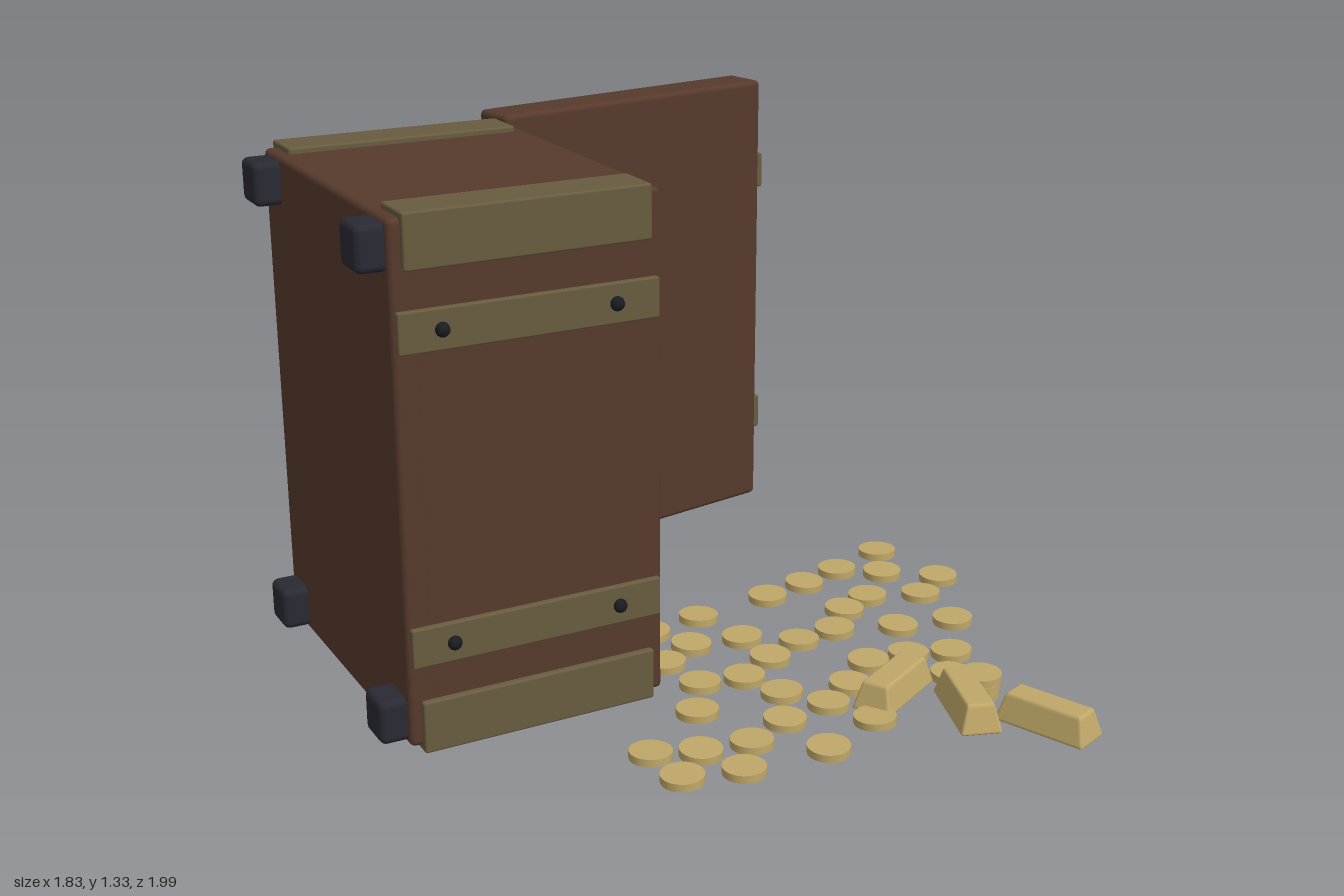
import * as THREE from 'three';
import { RoundedBoxGeometry } from 'three/addons/geometries/RoundedBoxGeometry.js';

const material = (name, color) => {
  const m = new THREE.MeshStandardMaterial({ color });
  m.name = name;
  return m;
};

export function createModel() {
  const wood = material('brown wood', 0x573a2d);
  const brass = material('olive brass', 0x685c40);
  const iron = material('dark iron', 0x292a33);
  const black = material('black rivet', 0x1b1c20);
  const gold = material('gold', 0xbfa768);

  const model = new THREE.Group();
  model.name = 'openChest';

  const part = (parent, name, geometry, mat, x = 0, y = 0, z = 0) => {
    const mesh = new THREE.Mesh(geometry, mat);
    mesh.name = name;
    mesh.position.set(x, y, z);
    parent.add(mesh);
    return mesh;
  };

  // Rounded box given by its extents along each axis
  const slab = (parent, name, mat, [x0, x1], [y0, y1], [z0, z1], r = 0.01) =>
    part(parent, name, new RoundedBoxGeometry(x1 - x0, y1 - y0, z1 - z0, 2, r), mat,
      (x0 + x1) / 2, (y0 + y1) / 2, (z0 + z1) / 2);

  // Cabinet, open on its left side and symmetric about its own middle
  const cabinet = new THREE.Group();
  cabinet.name = 'cabinet';
  cabinet.position.set(0, 0.6725, -0.2);
  model.add(cabinet);
  const H = 0.65, D = 0.44, T = 0.062;

  slab(cabinet, 'backPanel', wood, [-0.85, -0.78], [-H, H], [-D, D], 0.015);
  for (const s of [-1, 1]) {
    const span = (a, b) => (s > 0 ? [a, b] : [-b, -a]);
    slab(cabinet, s > 0 ? 'topBoard' : 'bottomBoard', wood,
      [-0.8, -0.17], span(H - T, H), [-D, D], 0.012);
    slab(cabinet, s > 0 ? 'frontBoard' : 'rearBoard', wood,
      [-0.8, -0.17], [-H + 0.03, H - 0.03], span(D - T, D), 0.012);
  }

  // Everything that repeats at the four long edges
  for (const sy of [-1, 1]) for (const sz of [-1, 1]) {
    const ys = (a, b) => (sy > 0 ? [a, b] : [-b, -a]);
    const zs = (a, b) => (sz > 0 ? [a, b] : [-b, -a]);
    // Angled edge guard
    slab(cabinet, 'edgeGuardFlat', brass, [-0.82, -0.2], ys(H - 0.01, H + 0.015), zs(D - 0.115, D + 0.016), 0.006);
    slab(cabinet, 'edgeGuardUpright', brass, [-0.82, -0.2], ys(H - 0.12, H + 0.015), zs(D - 0.01, D + 0.016), 0.006);
    // Inner corner strip
    slab(cabinet, 'innerStrip', brass, [-0.79, -0.19], ys(H - T - 0.047, H - T + 0.005), zs(D - T - 0.047, D - T + 0.005), 0.006);
    // Corner block on the closed side
    slab(cabinet, 'cornerBlock', iron, [-0.918, -0.83], ys(H - 0.125, H - 0.012), zs(D - 0.13, D - 0.018), 0.018);
    // Strap with two rivets
    slab(cabinet, 'strap', brass, [-0.84, -0.18], ys(0.337, 0.438), zs(D - 0.01, D + 0.014), 0.005);
    for (const x of [-0.735, -0.295]) {
      const rivet = part(cabinet, 'rivet', new THREE.SphereGeometry(0.018, 14, 10), black, x, sy * 0.388, sz * (D + 0.018));
      rivet.scale.z = 0.9;
    }
  }

  // Hinges
  for (const y of [0.285, 1.06]) {
    part(model, 'hinge', new THREE.CylinderGeometry(0.028, 0.028, 0.182, 20), iron, -0.165, y, -0.664);
  }

  // Door swung open
  const door = new THREE.Group();
  door.name = 'door';
  door.position.set(-0.16, 0, -0.675);
  door.rotation.y = THREE.MathUtils.degToRad(10);
  model.add(door);
  slab(door, 'doorPanel', wood, [0, 0.915], [0.012, 1.335], [-0.133, 0], 0.015);
  slab(door, 'doorRaisedPanel', wood, [0.065, 0.842], [0.075, 1.272], [-0.182, -0.11], 0.02);
  for (const y of [0.235, 1.01]) {
    slab(door, 'doorStrap', brass, [-0.015, 0.928], [y, y + 0.103], [-0.149, -0.125], 0.006);
    slab(door, 'doorStrapEnd', brass, [0.905, 0.928], [y, y + 0.103], [-0.149, -0.002], 0.006);
  }

  // Coins scattered on the ground, as x, z pairs
  const coinGeometry = new THREE.CylinderGeometry(0.054, 0.054, 0.02, 24);
  const floorCoins = [
    -0.04, -0.07, 0.12, -0.09, 0.36, -0.12, 0.5, -0.15, 0.63, -0.18, 0.81, -0.24,
    0.74, -0.11, 0.86, 0, 0.75, 0.07, 0.61, 0.01, 0.5, 0.06, 0.41, 0.15,
    0.29, 0.16, 0.16, 0.08, 0.02, 0.05, -0.09, 0.11, -0.07, 0.26, 0.05, 0.28,
    0.17, 0.21, -0.15, 0.39, 0.09, 0.4, 0.27, 0.44, 0.38, 0.36, 0.5, 0.37,
    0.61, 0.41, 0.57, 0.22, 0.73, 0.25, -0.35, 0.52, -0.34, 0.66, -0.24, 0.57,
    -0.19, 0.69, -0.11, 0.59, 0.02, 0.53, 0.04, 0.7, 0.16, 0.51, 0.22, 0.63,
    0.53, 0.52,
  ];
  // Coins left inside the cabinet
  const innerCoins = [
    -0.47, -0.33, -0.35, -0.34, -0.3, -0.19, -0.34, -0.08, -0.27, -0.28,
    -0.5, -0.02, -0.4, 0.05, -0.6, -0.18,
  ];
  const scatter = (name, list, y) => {
    for (let i = 0; i < list.length; i += 2) {
      const coin = part(model, name, coinGeometry, gold, list[i], y + (i % 3) * 0.002, list[i + 1]);
      coin.rotation.set(0.03 * Math.sin(i * 2.3), 0, 0.03 * Math.cos(i * 1.7));
    }
  };
  scatter('coin', floorCoins, 0.015);
  scatter('cabinetCoin', innerCoins, 0.1);

  // Small stack of coins
  for (let i = 0; i < 3; i++) {
    part(model, 'stackedCoin', coinGeometry, gold, 0.53 + 0.003 * i, 0.018 + i * 0.0215, 0.635);
  }

  // Ingots: rounded boxes tapering towards the top
  const ingotGeometry = new RoundedBoxGeometry(0.25, 0.075, 0.108, 2, 0.008);
  const p = ingotGeometry.attributes.position;
  for (let i = 0; i < p.count; i++) {
    const t = p.getY(i) / 0.075 + 0.5;
    p.setX(i, p.getX(i) * (1 - 0.17 * t));
    p.setZ(i, p.getZ(i) * (1 - 0.36 * t));
  }
  ingotGeometry.computeVertexNormals();
  for (const [x, z, angle] of [[0.34, 0.535, 28], [0.45, 0.7, 71], [0.577, 0.86, -69]]) {
    const ingot = part(model, 'ingot', ingotGeometry, gold, x, 0.046, z);
    ingot.rotation.y = THREE.MathUtils.degToRad(angle);
  }

  return model;
}
